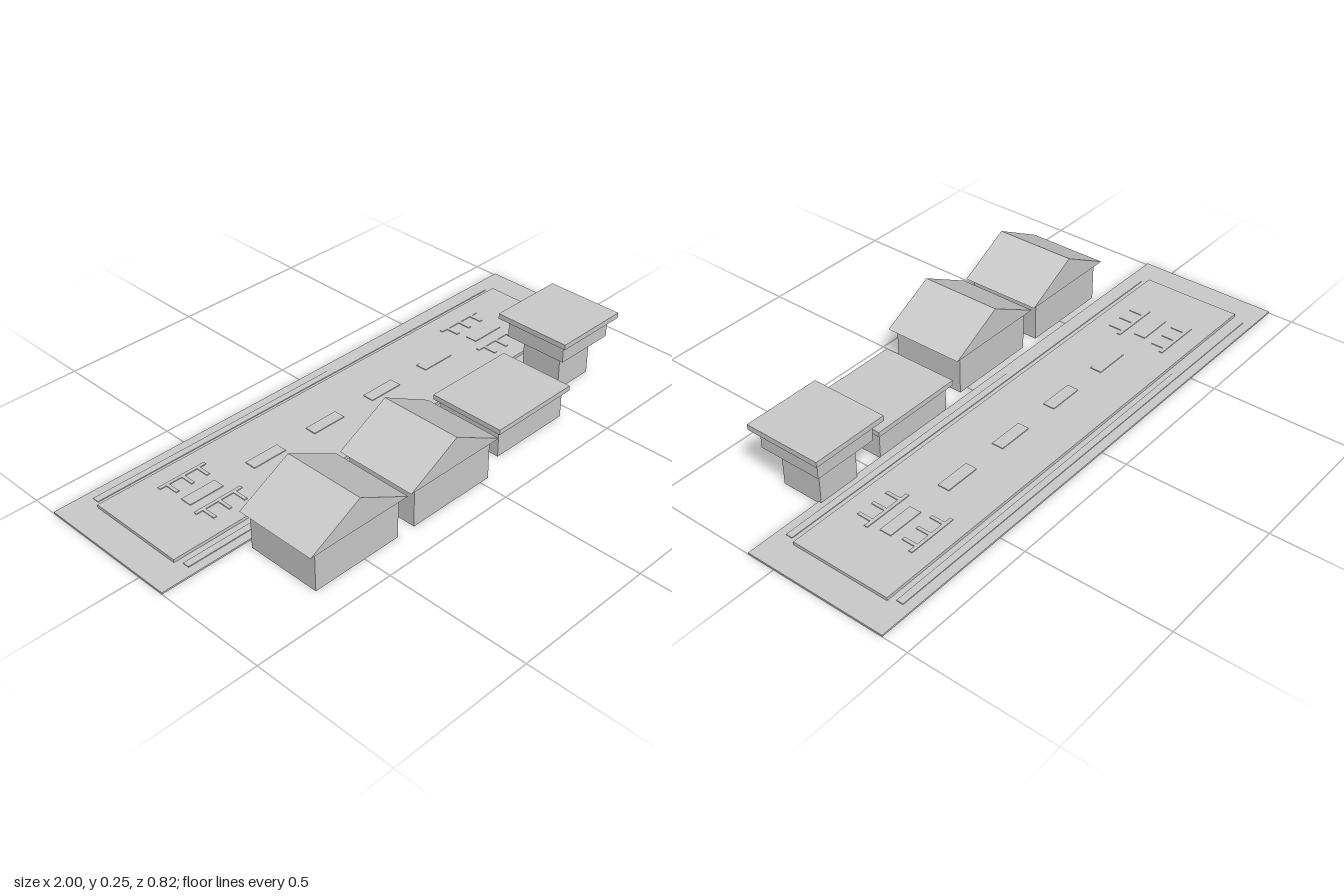
import * as THREE from 'three';

const material = new THREE.MeshStandardMaterial({ color: 0xcccccc, flatShading: true });

// Box given by its limits on each axis
function block(parent, name, [x0, x1], [y0, y1], [z0, z1]) {
  const geo = new THREE.BoxGeometry(x1 - x0, y1 - y0, z1 - z0);
  const mesh = new THREE.Mesh(geo, material);
  mesh.name = name;
  mesh.position.set((x0 + x1) / 2, (y0 + y1) / 2, (z0 + z1) / 2);
  parent.add(mesh);
  return mesh;
}

function group(parent, name) {
  const g = new THREE.Group();
  g.name = name;
  parent.add(g);
  return g;
}

// Hangar: box body under an overhanging gable roof
function hangar(parent, name, x) {
  const g = group(parent, name);
  block(g, 'hangarBody', [x - 0.165, x + 0.165], [0, 0.142], [0.13, 0.398]);
  const gable = new THREE.Shape();
  gable.moveTo(-0.192, 0.142);
  gable.lineTo(0.192, 0.142);
  gable.lineTo(0, 0.245);
  gable.closePath();
  const geo = new THREE.ExtrudeGeometry(gable, { depth: 0.294, bevelEnabled: false });
  const roof = new THREE.Mesh(geo, material);
  roof.name = 'gableRoof';
  roof.position.set(x, 0, 0.117);
  g.add(roof);
}

export function createModel() {
  const model = new THREE.Group();
  model.name = 'airfield';

  // Ground slab and raised runway
  block(model, 'ground', [-1, 1], [0, 0.006], [-0.41, 0.102]);
  block(model, 'runway', [-0.896, 0.896], [0.006, 0.017], [-0.333, 0.026]);

  // Long stripes beside the runway
  block(model, 'frontSideStripe', [-0.88, 0.88], [0.006, 0.009], [0.048, 0.072]);
  block(model, 'backSideStripe', [-0.88, 0.88], [0.006, 0.009], [-0.377, -0.353]);

  // Centre line dashes
  const markings = group(model, 'runwayMarkings');
  const top = [0.017, 0.02];
  for (const side of [-1, 1]) {
    for (const d of [0.13, 0.385, 0.64]) {
      const x = side * d;
      block(markings, 'centreDash', [x - 0.065, x + 0.065], top, [-0.174, -0.132]);
    }
    // Comb of short bars on both sides of the centre line at each end
    for (const [z0, z1] of [[-0.097, -0.035], [-0.268, -0.209]]) {
      for (const d of [0.57, 0.63, 0.69]) {
        const x = side * d;
        block(markings, 'thresholdBar', [x - 0.006, x + 0.006], top, [z0, z1]);
      }
      const x = side * 0.63;
      block(markings, 'thresholdLine', [x - 0.09, x + 0.09], top, [z0, z0 + 0.012]);
    }
  }

  // Two hangars
  hangar(model, 'outerHangar', -0.527);
  hangar(model, 'innerHangar', -0.13);

  // Low terminal with a flat roof
  const terminal = group(model, 'terminal');
  block(terminal, 'terminalBody', [0.138, 0.447], [0, 0.1], [0.103, 0.348]);
  block(terminal, 'terminalRoof', [0.122, 0.465], [0.1, 0.118], [0.086, 0.365]);

  // Control tower
  const tower = group(model, 'controlTower');
  block(tower, 'towerShaft', [0.562, 0.716], [0, 0.142], [0.092, 0.245]);
  block(tower, 'towerCab', [0.525, 0.755], [0.142, 0.212], [0.053, 0.284]);
  block(tower, 'towerRoof', [0.5, 0.78], [0.212, 0.231], [0.028, 0.308]);

  return model;
}
